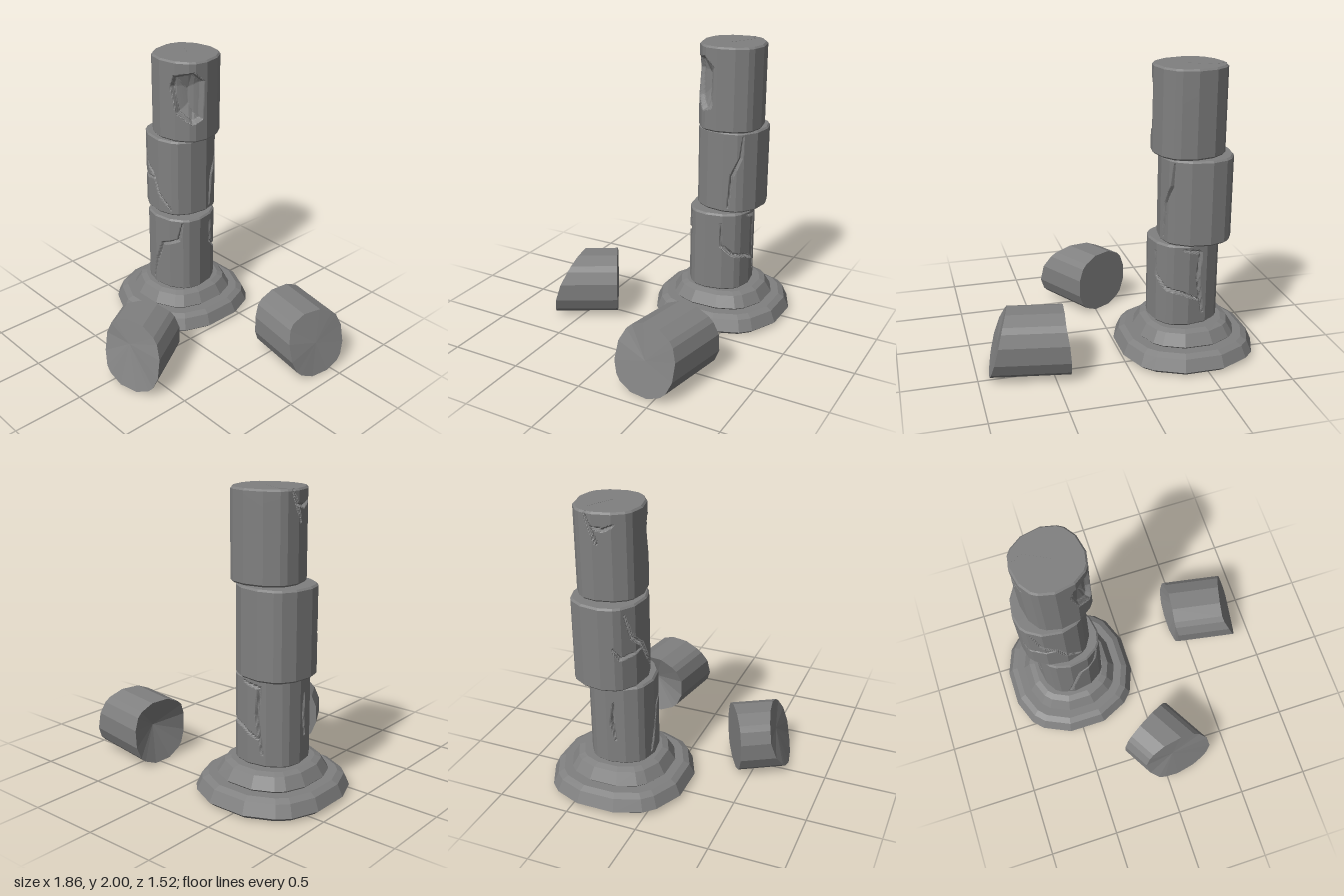
import * as THREE from 'three';

const stone = new THREE.MeshStandardMaterial({ color: 0x808080, flatShading: true });
stone.name = 'grey stone';
const RAD = Math.PI / 180;
const V = (x, y, z) => new THREE.Vector3(x, y, z);

// Rounded sixteen-sided outline, counterclockwise, scaled to a half-width of 1
function outline(turn = 0, split = 1) {
  const q = [[1, 0.28], [0.85, 0.66], [0.7, 0.81], [0.29, 1]];
  const flip = [...q].reverse();
  const corners = [
    ...q, ...flip.map(([x, y]) => [-x, y]), ...q.map(([x, y]) => [-x, -y]), ...flip.map(([x, y]) => [x, -y]),
  ].map(([x, y]) => new THREE.Vector2(x, y).rotateAround(new THREE.Vector2(), turn * RAD));
  const mx = Math.max(...corners.map((p) => Math.abs(p.x)));
  const my = Math.max(...corners.map((p) => Math.abs(p.y)));
  corners.forEach((p) => p.set(p.x / mx, p.y / my));
  const points = [];
  corners.forEach((p, i) => {
    for (let k = 0; k < split; k++) points.push(p.clone().lerp(corners[(i + 1) % corners.length], k / split));
  });
  return points;
}

// Skin a stack of equal rings and close both ends with fans
function loft(name, rings, startCentre, endCentre) {
  const n = rings[0].length, last = rings.length - 1;
  const pos = [];
  const tri = (...pts) => pts.forEach((p) => pos.push(p.x, p.y, p.z));
  for (let i = 0; i < n; i++) {
    const k = (i + 1) % n;
    for (let j = 0; j < last; j++) {
      const a = rings[j], b = rings[j + 1];
      tri(a[i], a[k], b[k]);
      tri(a[i], b[k], b[i]);
    }
    tri(startCentre, rings[0][k], rings[0][i]);
    tri(endCentre, rings[last][i], rings[last][k]);
  }
  const geo = new THREE.BufferGeometry();
  geo.setAttribute('position', new THREE.Float32BufferAttribute(pos, 3));
  geo.computeVertexNormals();
  const mesh = new THREE.Mesh(geo, stone);
  mesh.name = name;
  return mesh;
}

// Stepped base course: profile rows are [half-width, height]
function tier(name, rows, extraDepth) {
  const o = outline();
  const rings = rows.map(([r, y]) => o.map((p) => V(p.x * r, y, -p.y * (r + extraDepth))));
  const mesh = loft(name, rings, V(0, rows[0][1], 0), V(0, rows[rows.length - 1][1], 0));
  mesh.position.set(-0.465, 0, -0.325);
  return mesh;
}

const wrap = (a) => Math.atan2(Math.sin(a), Math.cos(a));

// Depth of a tapering V-groove running along [azimuth, height] points
function grooveDepth(path, az, y, r) {
  let depth = 0;
  for (let i = 0; i < path.length - 1; i++) {
    const [a0, y0] = path[i], [a1, y1] = path[i + 1];
    const px = wrap(az - a0 * RAD) * r, py = y - y0;
    const dx = (a1 - a0) * RAD * r, dy = y1 - y0;
    const t = THREE.MathUtils.clamp((px * dx + py * dy) / (dx * dx + dy * dy), 0, 1);
    const d = Math.hypot(px - dx * t, py - dy * t);
    const taper = 0.55 + 0.45 * Math.sin(Math.PI * (i + t) / (path.length - 1));
    depth = Math.max(depth, 0.024 * taper * (1 - d / (0.014 * taper)));
  }
  return depth;
}

// Depth of a faceted hollow inside a convex [azimuth, height] outline
function chipDepth(poly, az, y, r) {
  let d = Infinity;
  poly.forEach(([a0, y0], i) => {
    const [a1, y1] = poly[(i + 1) % poly.length];
    const dx = (a1 - a0) * RAD * r, dy = y1 - y0;
    const px = wrap(az - a0 * RAD) * r, py = y - y0;
    d = Math.min(d, (dx * py - dy * px) / Math.hypot(dx, dy));
  });
  return d > 0 ? Math.min(d * 1.6, 0.03) + d * 0.42 : 0;
}

// Column drum with bevelled rims, cracks and an optional chip
function drum({ name, x, z, rx, rz, y0, y1, turn, cracks, chip }) {
  const o = outline(turn, 12), bevel = 0.012, steps = 68;
  const rows = [[y0, bevel]];
  for (let j = 0; j <= steps; j++) rows.push([y0 + bevel + (y1 - y0 - 2 * bevel) * j / steps, 0]);
  rows.push([y1, bevel]);
  const rings = rows.map(([y, inset]) => o.map((p) => {
    const az = Math.atan2(p.x, -p.y);
    let depth = inset;
    for (const c of cracks) depth = Math.max(depth, grooveDepth(c, az, y, rx));
    if (chip) depth = Math.max(depth, chipDepth(chip, az, y, rx));
    const s = 1 - depth / rx;
    return V(p.x * rx * s, y, -p.y * rz * s);
  }));
  const mesh = loft(name, rings, V(0, y0, 0), V(0, y1, 0));
  mesh.position.set(x, 0, z);
  return mesh;
}

// Fallen piece lying on its side; end offsets are listed every 45 degrees around
function fallen(name, x, z, azimuth, ends, centres) {
  const o = outline();
  const rings = ends.map((list) => o.map((p) => {
    const t = ((Math.atan2(p.y, p.x) / RAD + 360) % 360) / 45;
    const i = Math.floor(t);
    return V(p.x * 0.228, p.y * 0.22, THREE.MathUtils.lerp(list[i % 8], list[(i + 1) % 8], t - i));
  }));
  const mesh = loft(name, rings, V(...centres[0]), V(...centres[1]));
  mesh.position.set(x, 0.225, z);
  mesh.rotation.y = azimuth * RAD;
  return mesh;
}

// Thin jagged sliver along the cap of the top drum
function capCrack() {
  const path = [[-0.42, -0.36], [-0.53, -0.42], [-0.6, -0.455], [-0.63, -0.425], [-0.675, -0.42]];
  const w = [0.001, 0.004, 0.005, 0.006, 0.007];
  const shape = new THREE.Shape([
    ...path.map(([x, z], i) => new THREE.Vector2(x, -z + w[i])),
    ...path.map(([x, z], i) => new THREE.Vector2(x, -z - w[i])).reverse(),
  ]);
  const geo = new THREE.ExtrudeGeometry(shape, { depth: 0.003, bevelEnabled: false });
  geo.rotateX(-Math.PI / 2);
  const mesh = new THREE.Mesh(geo, stone);
  mesh.name = 'capCrack';
  mesh.position.y = 1.998;
  return mesh;
}

export function createModel() {
  const model = new THREE.Group();
  model.name = 'ruinedColumn';

  // Stepped base
  model.add(
    tier('lowerBase', [[0.43, 0], [0.465, 0.03], [0.43, 0.11], [0.39, 0.132]], 0.01),
    tier('upperBase', [[0.32, 0.13], [0.335, 0.145], [0.29, 0.222], [0.25, 0.238]], 0.01),
  );

  // Three shifted drums
  model.add(
    drum({
      name: 'lowerDrum', x: -0.4525, z: -0.3125, rx: 0.237, rz: 0.228, y0: 0.236, y1: 0.82, turn: 10,
      cracks: [
        [[50, 0.79], [43, 0.655], [10, 0.6], [-4, 0.44], [-14, 0.28]],
        [[112, 0.75], [115, 0.58], [134, 0.51], [163, 0.48], [192, 0.42]],
        [[165, 0.79], [195, 0.76], [190, 0.58], [200, 0.32]],
        [[-82, 0.7], [-86, 0.55], [-80, 0.42]],
      ],
    }),
    drum({
      name: 'middleDrum', x: -0.5125, z: -0.36, rx: 0.247, rz: 0.24, y0: 0.828, y1: 1.41, turn: -8,
      cracks: [
        [[-43, 1.35], [-31, 1.19], [-6, 1.1], [8, 0.98], [32, 0.87]],
        [[-6, 1.085], [-51, 1.06], [-62, 1.13]],
        [[129, 1.38], [126, 1.23], [112, 1.1], [107, 0.87]],
      ],
    }),
    drum({
      name: 'upperDrum', x: -0.4525, z: -0.365, rx: 0.237, rz: 0.227, y0: 1.418, y1: 2, turn: 12,
      cracks: [
        [[254, 1.985], [262, 1.91], [274, 1.8]],
        [[262, 1.91], [284, 1.89], [300, 1.92]],
      ],
      chip: [[25, 1.9], [18, 1.82], [30, 1.63], [58, 1.55], [78, 1.58], [81, 1.86], [60, 1.93]],
    }),
    capCrack(),
  );

  // Broken pieces on the ground
  model.add(
    fallen('frontFallenPiece', -0.055, 0.345, 30,
      [[0, 0, 0, 0, 0, 0, 0, 0], [0.44, 0.34, 0.25, 0.21, 0.21, 0.33, 0.42, 0.45]],
      [[0, 0, 0], [-0.03, 0.06, 0.29]]),
    fallen('sideFallenPiece', 0.425, -0.48, 80,
      [[-0.05, -0.02, -0.01, 0.0, 0.04, 0.01, -0.03, -0.05], [0.43, 0.39, 0.36, 0.37, 0.45, 0.49, 0.5, 0.48]],
      [[0.02, 0.03, 0.06], [0, 0, 0.43]]),
  );
  return model;
}
